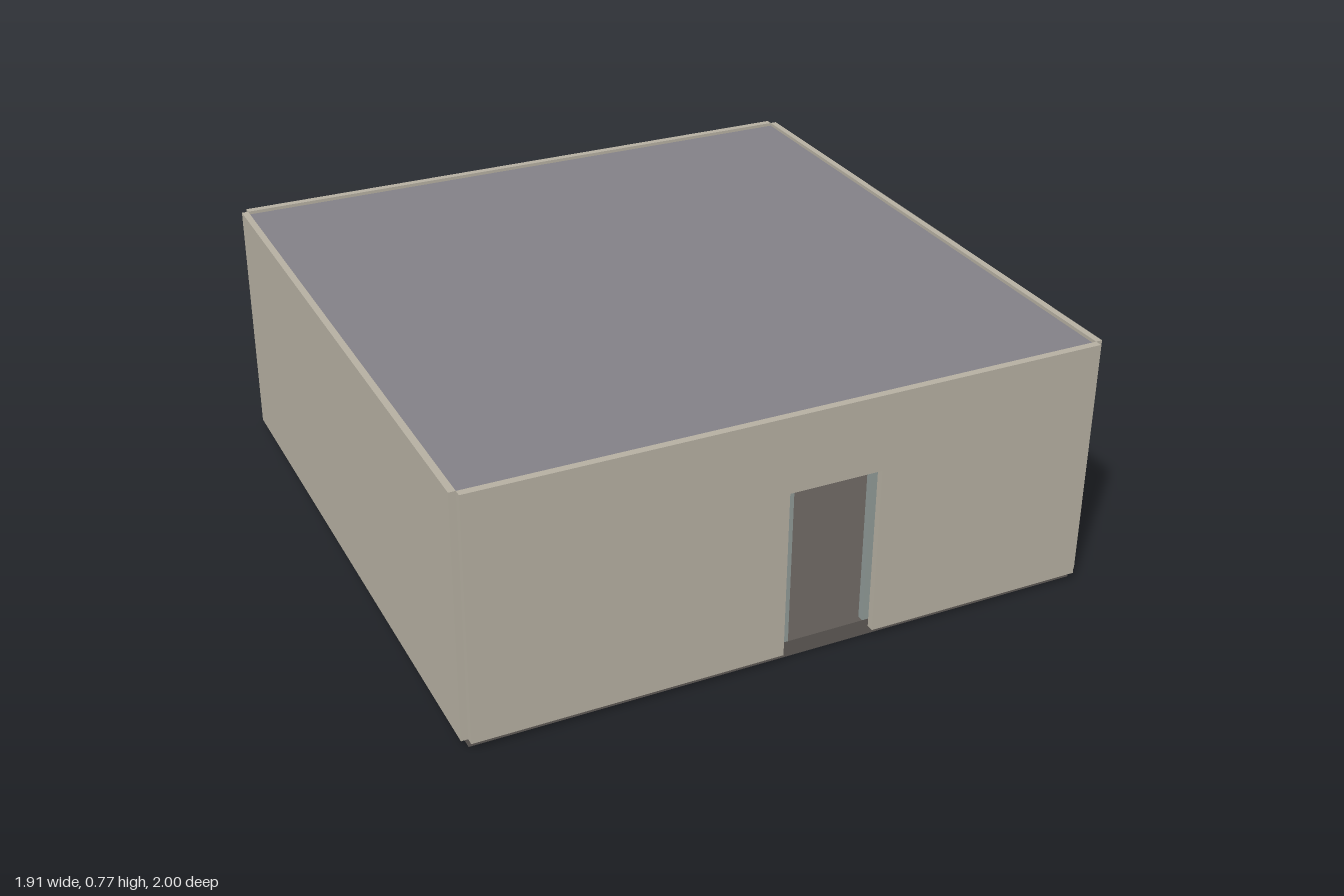
import * as THREE from 'three';

const paint = (color) => new THREE.MeshStandardMaterial({ color });
const wallPaint = paint(0xb5afa1);
const roofPaint = paint(0x828086);
const floorPaint = paint(0x5e5955);
const metalPaint = paint(0x8f9996);
const darkPaint = paint(0x505556);

const WALL_BOTTOM = 0.025, WALL_TOP = 0.77, OPENING_TOP = 0.54;
const INNER_X = 0.935, OUTER_X = 0.955;
const FRONT = 1, INNER_FRONT = 0.978, INNER_BACK = -0.895, BACK = -0.917;

export function createModel() {
  const group = new THREE.Group();

  // Box given by its lower and upper limits on each axis
  const box = (name, material, [x0, x1], [y0, y1], [z0, z1]) => {
    const mesh = new THREE.Mesh(new THREE.BoxGeometry(x1 - x0, y1 - y0, z1 - z0), material);
    mesh.position.set((x0 + x1) / 2, (y0 + y1) / 2, (z0 + z1) / 2);
    mesh.name = name;
    group.add(mesh);
  };

  // Wall with an opening that reaches down to its bottom edge
  const openWall = (name, left, right, z0, z1) => {
    const outline = [
      [-INNER_X, WALL_BOTTOM], [left, WALL_BOTTOM], [left, OPENING_TOP], [right, OPENING_TOP],
      [right, WALL_BOTTOM], [INNER_X, WALL_BOTTOM], [INNER_X, WALL_TOP], [-INNER_X, WALL_TOP],
    ];
    const shape = new THREE.Shape(outline.map(([x, y]) => new THREE.Vector2(x, y)));
    const geometry = new THREE.ExtrudeGeometry(shape, { depth: z1 - z0, bevelEnabled: false });
    const mesh = new THREE.Mesh(geometry, wallPaint);
    mesh.position.z = z0;
    mesh.name = name;
    group.add(mesh);
  };

  // Shell: floor, roof sunk just below the wall tops, four walls
  const insideZ = [INNER_BACK, INNER_FRONT];
  box('floor', floorPaint, [-INNER_X, INNER_X], [0, 0.05], insideZ);
  box('roof', roofPaint, [-INNER_X, INNER_X], [0.735, 0.76], insideZ);
  openWall('frontWall', -0.025, 0.255, INNER_FRONT, FRONT);
  openWall('backWall', -0.2, 0.2, BACK, INNER_BACK);
  box('leftWall', wallPaint, [INNER_X, OUTER_X], [WALL_BOTTOM, WALL_TOP], insideZ);
  box('rightWall', wallPaint, [-OUTER_X, -INNER_X], [WALL_BOTTOM, WALL_TOP], insideZ);

  // Doorway jambs, set just inside the front wall
  const jambZ = [INNER_FRONT - 0.02, INNER_FRONT];
  box('rightDoorJamb', metalPaint, [-0.025, 0], [0.05, OPENING_TOP], jambZ);
  box('leftDoorJamb', metalPaint, [0.235, 0.255], [0.05, OPENING_TOP], jambZ);

  // Service hatch: lower panel, outer ledge and inner counter
  box('hatchPanel', metalPaint, [-0.22, 0.22], [0.05, 0.268], [INNER_BACK, INNER_BACK + 0.02]);
  box('hatchLedge', metalPaint, [-0.22, 0.22], [0.268, 0.284], [-1, BACK]);
  box('hatchSill', metalPaint, [-0.2, 0.2], [0.268, 0.284], [BACK, INNER_BACK]);
  box('innerCounter', metalPaint, [-0.25, 0.25], [0.268, 0.284], [INNER_BACK, -0.74]);

  // Vertical bars of the hatch
  for (let i = -2; i <= 2; i++) {
    const x = i * 0.08;
    box('hatchBar', darkPaint, [x - 0.005, x + 0.005], [0.284, OPENING_TOP], [-0.911, -0.901]);
  }

  // Small items on the counter
  for (const x of [0.125, -0.07]) {
    box('counterItem', darkPaint, [x - 0.014, x + 0.014], [0.284, 0.31], [-0.81, -0.78]);
  }
  return group;
}
